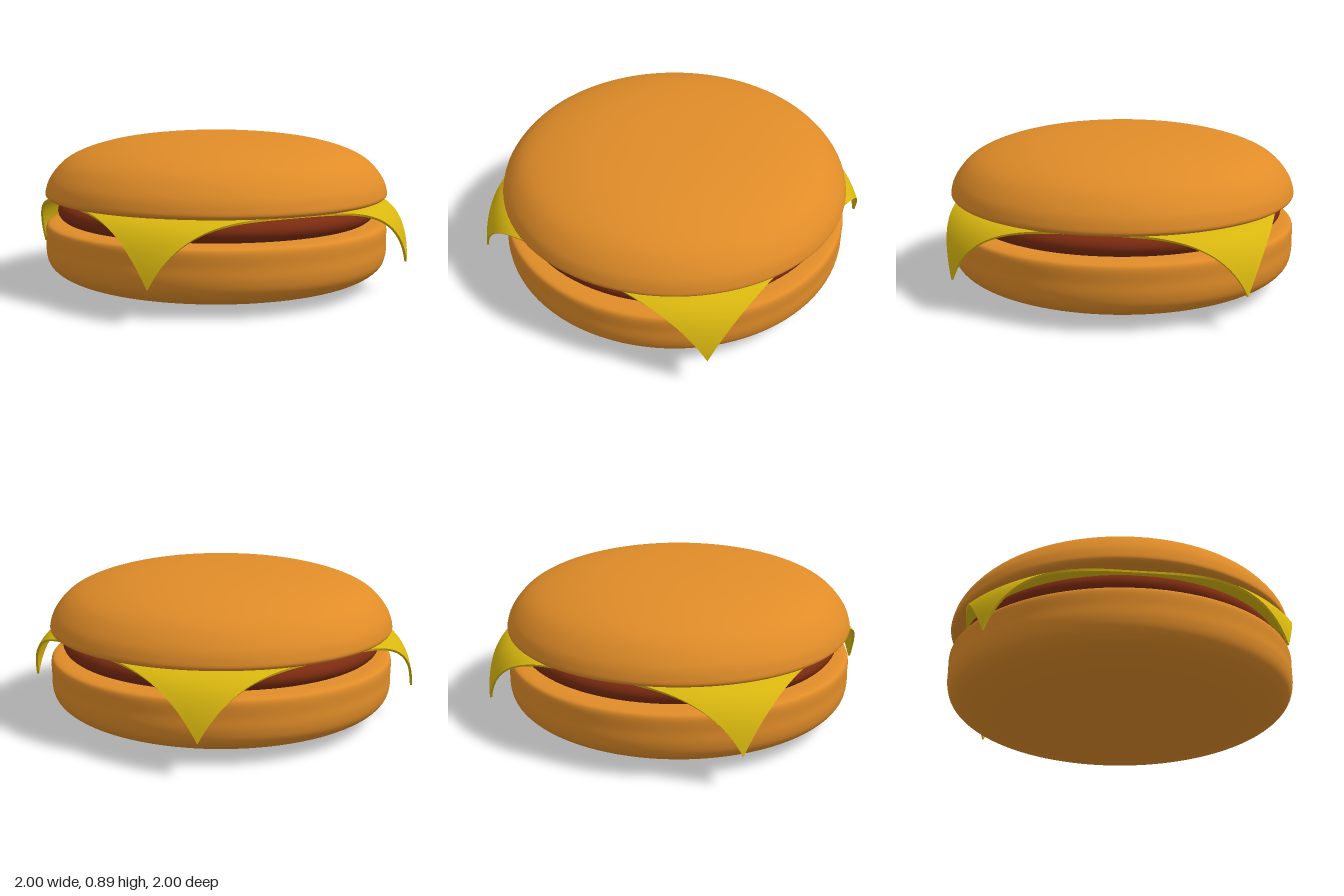
import * as THREE from 'three';

const material = (color) => new THREE.MeshStandardMaterial({ color });

// Smooth round body; the profile runs from bottom centre to top centre.
function roundPart(name, profile, color) {
  const curve = new THREE.CatmullRomCurve3(
    profile.map(([r, y]) => new THREE.Vector3(r, y, 0)), false, 'centripetal');
  const points = curve.getPoints(80).map((p) => new THREE.Vector2(Math.max(0, p.x), p.y));
  const mesh = new THREE.Mesh(new THREE.LatheGeometry(points, 96), material(color));
  mesh.name = name;
  return mesh;
}

// Square slice whose corners droop once they pass the rim of the patty.
function cheeseSlice() {
  const half = 0.91, rim = 0.9, reach = 0.387, top = 0.523, thickness = 0.013;
  const geometry = new THREE.BoxGeometry(2 * half, 1, 2 * half, 64, 1, 64);
  const pos = geometry.attributes.position;
  for (let i = 0; i < pos.count; i++) {
    const x = pos.getX(i), z = pos.getZ(i);
    const r = Math.hypot(x, z);
    const t = Math.max(0, (r - rim) / reach);
    const drop = 0.335 * t * t;
    // Thickness is measured across the bent sheet.
    const slope = Math.atan2(0.67 * t, reach - 0.357 * Math.pow(t, 1.3));
    const inset = pos.getY(i) < 0 ? thickness : 0;
    const bent = r - 0.155 * Math.pow(t, 2.3) - inset * Math.sin(slope);
    const scale = r > 0 ? bent / r : 1;
    pos.setXYZ(i, x * scale, top - drop - inset * Math.cos(slope), z * scale);
  }
  geometry.computeVertexNormals();
  const mesh = new THREE.Mesh(geometry, material(0xd9b70f));
  mesh.name = 'cheeseSlice';
  return mesh;
}

export function createModel() {
  const group = new THREE.Group();
  group.name = 'cheeseburger';
  const bun = 0xe08c28;

  group.add(roundPart('bottomBun', [
    [0, 0.005], [0.3, 0.009], [0.55, 0.02], [0.75, 0.04], [0.88, 0.073], [0.95, 0.112],
    [0.985, 0.153], [1, 0.21], [1, 0.28], [1, 0.355], [0.99, 0.375], [0.96, 0.384],
    [0.9, 0.386], [0, 0.386],
  ], bun));

  group.add(roundPart('patty', [
    [0, 0.385], [0.84, 0.385], [0.89, 0.395], [0.92, 0.42], [0.93, 0.45],
    [0.92, 0.48], [0.89, 0.503], [0.84, 0.512], [0, 0.512],
  ], 0x7d2c10));

  group.add(cheeseSlice());

  group.add(roundPart('topBun', [
    [0, 0.515], [0.8, 0.517], [0.93, 0.522], [0.985, 0.53], [1, 0.545], [0.996, 0.58],
    [0.975, 0.635], [0.9, 0.727], [0.8, 0.787], [0.6, 0.848], [0.3, 0.887], [0, 0.897],
  ], bun));

  return group;
}
